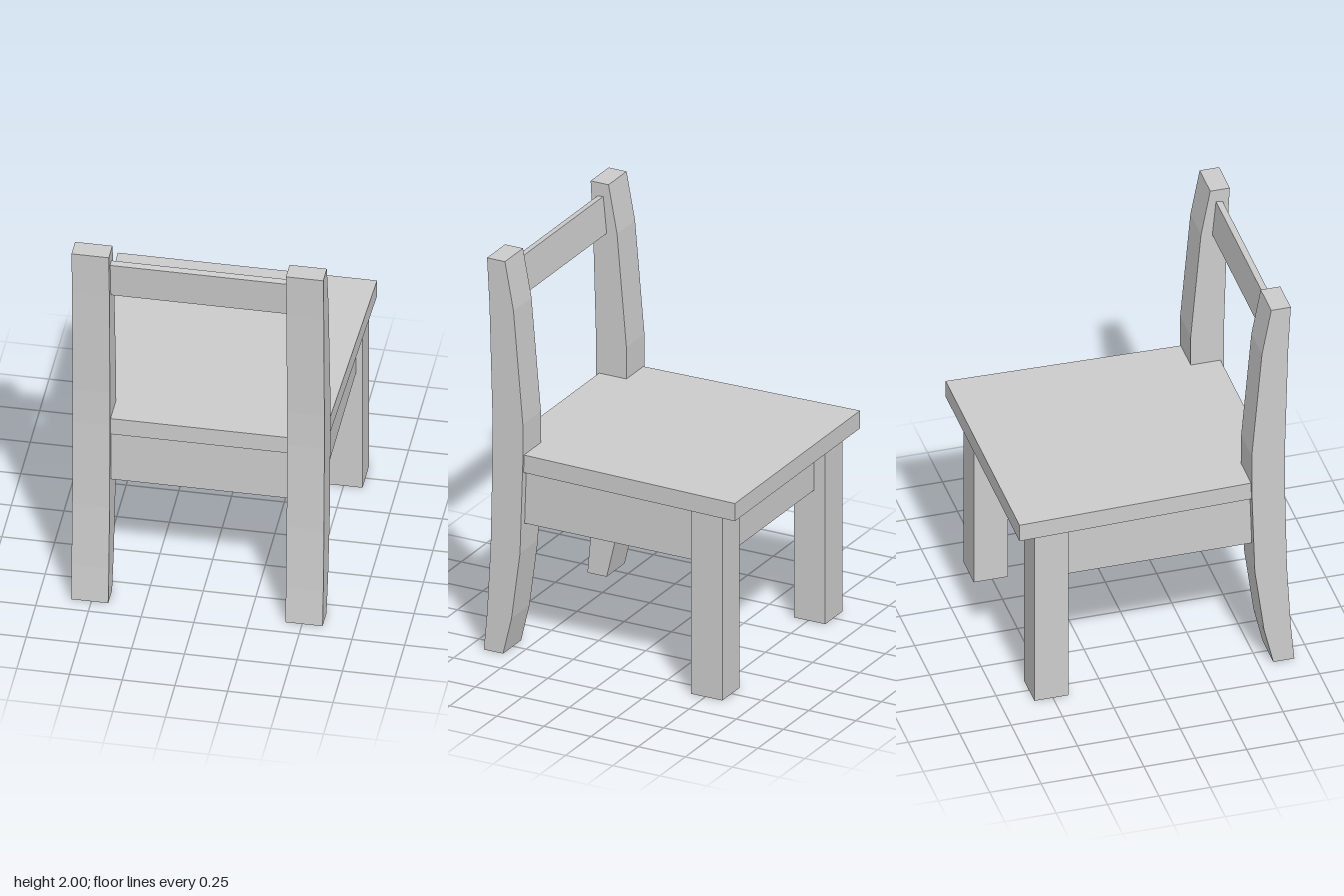
import * as THREE from 'three';

const material = new THREE.MeshStandardMaterial({ color: 0xcccccc, flatShading: true });

export function createModel() {
  const chair = new THREE.Group();
  chair.name = 'chair';

  const add = (name, geometry) => {
    const mesh = new THREE.Mesh(geometry, material);
    mesh.name = name;
    chair.add(mesh);
  };

  // Box given by its minimum and maximum on each axis
  const box = (name, [x0, x1], [y0, y1], [z0, z1]) => {
    const g = new THREE.BoxGeometry(x1 - x0, y1 - y0, z1 - z0);
    g.translate((x0 + x1) / 2, (y0 + y1) / 2, (z0 + z1) / 2);
    add(name, g);
  };

  const extrude = (points, depth) => new THREE.ExtrudeGeometry(
    new THREE.Shape(points.map(([a, b]) => new THREE.Vector2(a, b))),
    { depth, bevelEnabled: false });

  // Side profile of [z, y] points, swept along x from x0 to x1
  const profile = (name, points, x0, x1) => {
    const g = extrude(points.map(([z, y]) => [-z, y]), x1 - x0);
    g.rotateY(Math.PI / 2);
    g.translate(x0, 0, 0);
    add(name, g);
  };

  // Tapered seat, notched around the back posts
  const half = [[0.615, -0.67], [0.586, 0.47], [0.42, 0.47], [0.42, 0.61]];
  const outline = [...half, ...half.map(([x, z]) => [-x, z]).reverse()];
  const seat = extrude(outline, 0.09);
  seat.rotateX(Math.PI / 2);
  seat.translate(0, 1.03, 0);
  add('seat', seat);

  // Curved back posts that continue down as the rear legs
  const post = [
    [0.57, 0], [0.525, 0.19], [0.48, 0.53], [0.465, 1.0], [0.465, 1.19], [0.515, 1.76], [0.56, 2],
    [0.655, 2], [0.642, 1.76], [0.626, 1.19], [0.626, 1.0], [0.636, 0.53], [0.655, 0.19], [0.672, 0],
  ];

  for (const [side, s] of [['left', 1], ['right', -1]]) {
    const span = (a, b) => (s > 0 ? [a, b] : [-b, -a]);
    profile(side + 'BackPost', post, ...span(0.42, 0.597));
    box(side + 'FrontLeg', span(0.42, 0.59), [0, 0.94], [-0.59, -0.424]);
    box(side + 'Apron', span(0.46, 0.56), [0.67, 0.94], [-0.424, 0.48]);
  }

  // Rails under the seat
  box('frontApron', [-0.42, 0.42], [0.67, 0.94], [-0.53, -0.43]);
  box('backApron', [-0.42, 0.42], [0.67, 0.94], [0.5, 0.6]);

  // Leaning slat between the posts
  profile('backSlat', [[0.57, 1.75], [0.588, 1.935], [0.62, 1.93], [0.603, 1.745]], -0.42, 0.42);

  return chair;
}
